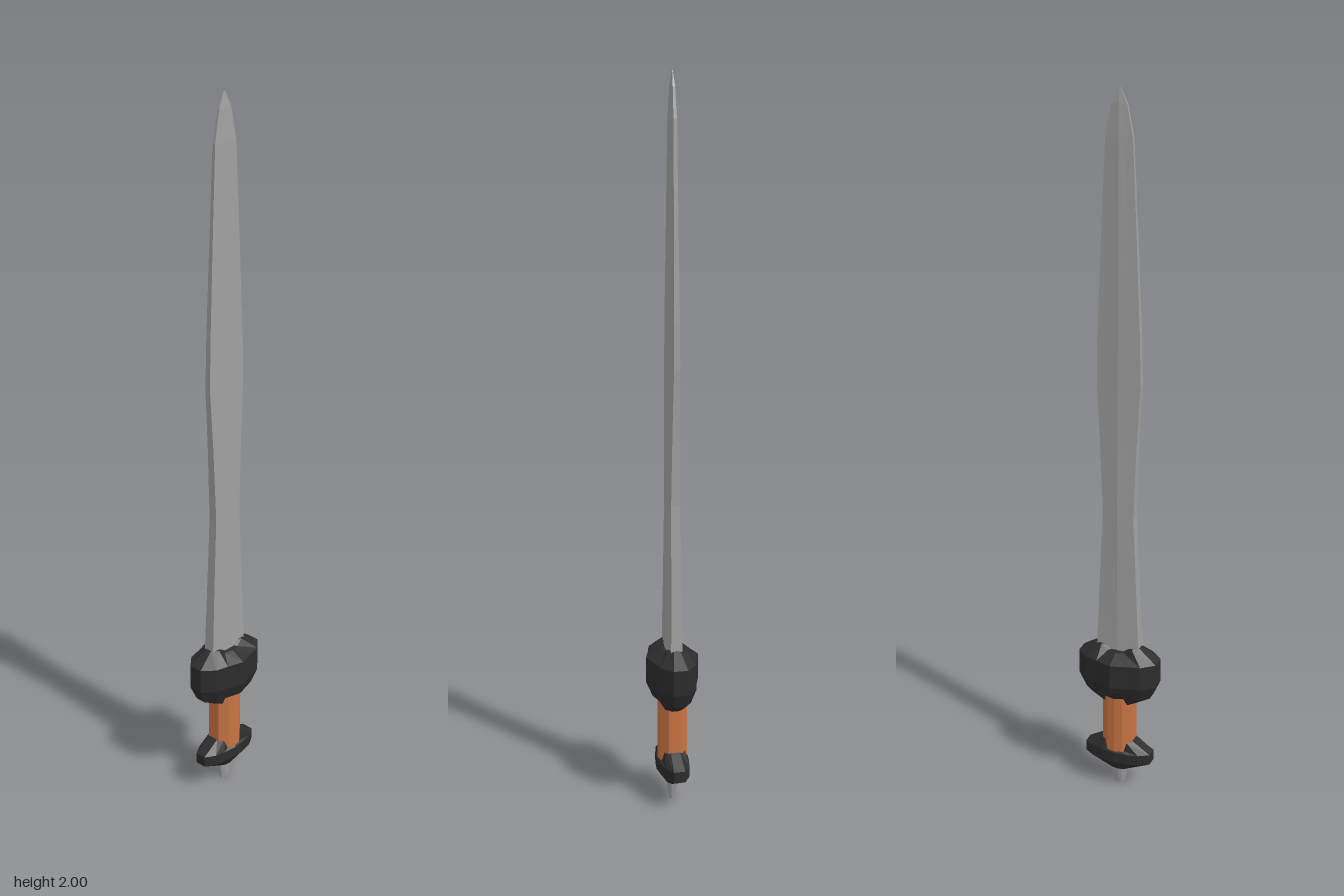
import * as THREE from 'three';

const mat = (name, color) => new THREE.MeshStandardMaterial({ name, color, flatShading: true });

// Mirror a quarter outline (from +x towards +z) into a closed ring; lift moves its middle points up or down
function ring(quarter, sx, sz, y, lift = 0) {
  const back = [...quarter].reverse();
  const all = [
    ...quarter.map(([x, z]) => [x, z]), ...back.map(([x, z]) => [-x, z]),
    ...quarter.map(([x, z]) => [-x, -z]), ...back.map(([x, z]) => [x, -z]),
  ];
  return all
    .filter(([x, z], i) => {
      const [px, pz] = all[(i + all.length - 1) % all.length];
      return Math.abs(px - x) + Math.abs(pz - z) > 1e-6;
    })
    .map(([x, z]) => new THREE.Vector3(x * sx, y + (Math.abs(x) < 0.5 ? lift : 0), z * sz));
}

// Skin a stack of rings from bottom to top and cap both ends
function loft(name, material, rings) {
  const pos = [];
  const tri = (...pts) => pts.forEach((p) => pos.push(p.x, p.y, p.z));
  const centre = (r) => r.reduce((s, p) => s.add(p), new THREE.Vector3()).divideScalar(r.length);
  const n = rings[0].length;
  const first = rings[0], last = rings[rings.length - 1];
  const c0 = centre(first), c1 = centre(last);
  for (let j = 0; j < n; j++) {
    const k = (j + 1) % n;
    for (let i = 0; i < rings.length - 1; i++) {
      const a = rings[i][j], b = rings[i][k], c = rings[i + 1][k], d = rings[i + 1][j];
      tri(a, d, c);
      tri(a, c, b);
    }
    tri(c0, first[j], first[k]);
    tri(c1, last[k], last[j]);
  }
  const geo = new THREE.BufferGeometry();
  geo.setAttribute('position', new THREE.Float32BufferAttribute(pos, 3));
  geo.computeVertexNormals();
  const mesh = new THREE.Mesh(geo, material);
  mesh.name = name;
  return mesh;
}

export function createModel() {
  const steel = mat('steel', 0xa0a0a0);
  const black = mat('black fittings', 0x2c2c2c);
  const copper = mat('copper grip', 0xc87443);
  const sword = new THREE.Group();
  sword.name = 'sword';

  // Leaf-shaped blade: height, half width, half thickness, edge bluntness
  const blade = [
    [0.4, 0.065, 0.021, 0.8], [0.62, 0.056, 0.019, 0.75], [0.87, 0.045, 0.018, 0.7],
    [1.08, 0.053, 0.016, 0.65], [1.24, 0.062, 0.014, 0.6], [1.36, 0.06, 0.013, 0.6],
    [1.62, 0.049, 0.011, 0.55], [1.88, 0.037, 0.009, 0.5], [1.96, 0.021, 0.006, 0.5],
    [2.0, 0.003, 0.001, 0.5],
  ];
  sword.add(loft('blade', steel, blade.map(([y, w, t, e]) =>
    ring([[1, e], [0.45, 0.5 + e / 2], [0, 1]], w, t, y))));

  // Faceted guard with a notched collar around the blade and an arch over the grip
  const guardOutline = [[1, 0.27], [0.71, 0.68], [0.4, 0.8], [0, 1]];
  const guard = [
    [0.4, 0.52, 0.28, 0.02], [0.84, 0.75, 0.312, 0], [1, 1, 0.355, 0],
    [1, 1, 0.427, 0], [0.55, 0.45, 0.463, -0.015],
  ];
  sword.add(loft('guard', black, guard.map(([sx, sz, y, lift]) =>
    ring(guardOutline, 0.117, 0.074 * 1, y, lift).map((p) => p.multiply(new THREE.Vector3(sx, 1, sz))))));

  // Eight-sided-style grip
  const gripOutline = [[1, 0.45], [0.5, 0.9], [0, 1]];
  sword.add(loft('grip', copper, [0.11, 0.32].map((y) => ring(gripOutline, 0.045, 0.042, y))));

  // Lower guard
  const lowerOutline = [[1, 0.35], [0.7, 0.75], [0.4, 0.9], [0, 1]];
  const lower = [
    [0.03, 0.02, 0.053, 0], [0.1, 0.045, 0.09, 0],
    [0.1, 0.045, 0.122, 0], [0.045, 0.038, 0.155, -0.025],
  ];
  sword.add(loft('lowerGuard', black, lower.map(([w, d, y, lift]) => ring(lowerOutline, w, d, y, lift))));

  // Steel pommel stud
  sword.add(loft('pommelStud', steel, [[0.015, 0.009, 0], [0.02, 0.013, 0.025], [0.028, 0.017, 0.06]]
    .map(([w, d, y]) => ring(gripOutline, w, d, y))));

  return sword;
}
